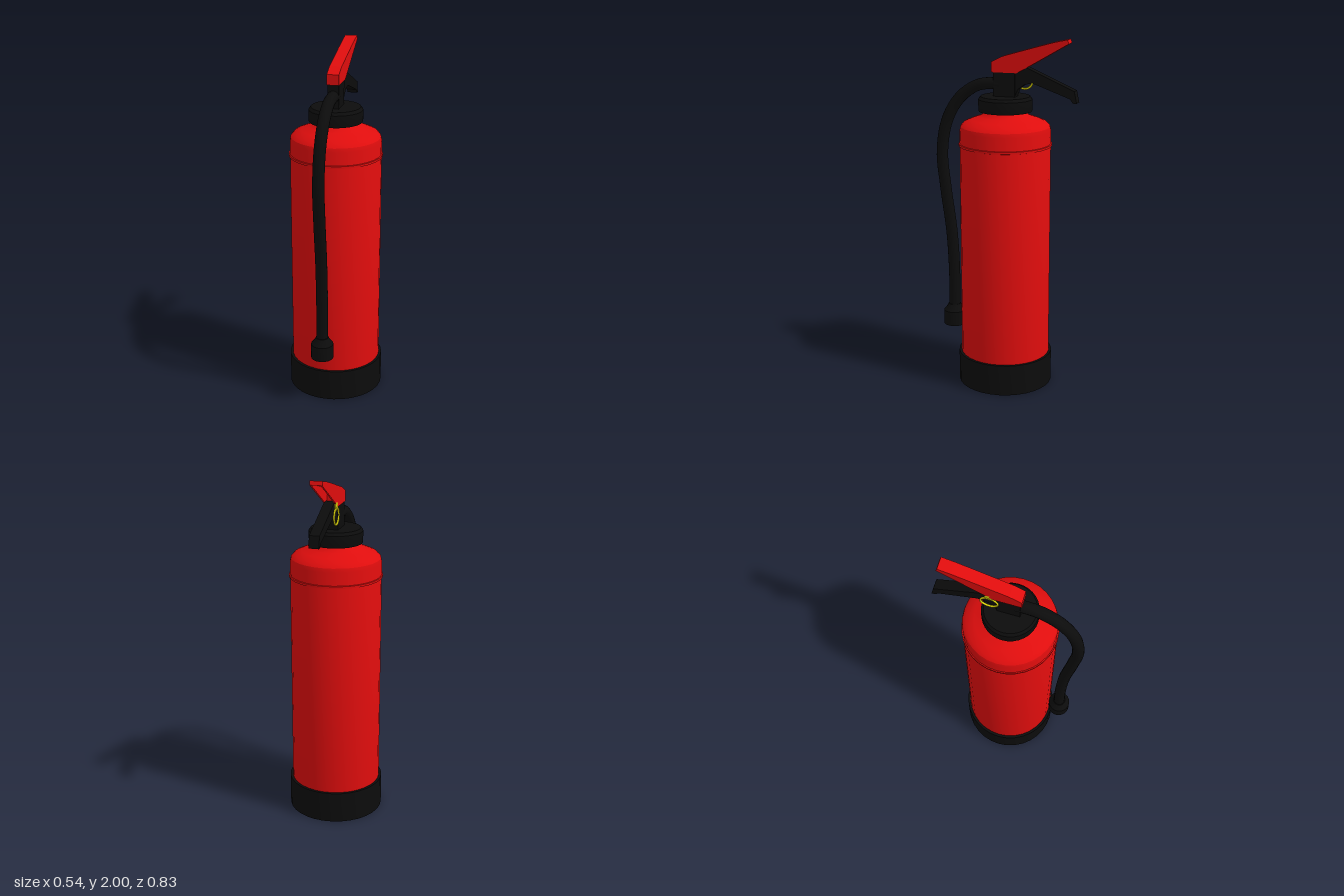
import * as THREE from 'three';
import { toCreasedNormals } from 'three/addons/utils/BufferGeometryUtils.js';

export function createModel() {
  const group = new THREE.Group();
  const material = (name, color) => {
    const m = new THREE.MeshStandardMaterial({ color });
    m.name = name;
    return m;
  };
  const red = material('red paint', 0xdf0d0d);
  const black = material('black rubber', 0x0c0c0c);
  const yellow = material('yellow pin', 0xd8d00a);

  const add = (name, geometry, mat, x = 0, y = 0, z = 0) => {
    const mesh = new THREE.Mesh(geometry, mat);
    mesh.name = name;
    mesh.position.set(x, y, z);
    group.add(mesh);
    return mesh;
  };
  // Turned part from [radius, height] pairs, bottom to top
  const turned = (points, sides = 32) => toCreasedNormals(
    new THREE.LatheGeometry(points.map(([r, y]) => new THREE.Vector2(r, y)), sides), 0.5);
  // Plate from a side profile of [z, y] pairs, spanning x0 to x1
  const plate = (points, x0, x1) => {
    const shape = new THREE.Shape(points.map(([z, y]) => new THREE.Vector2(-z, y)));
    const g = new THREE.ExtrudeGeometry(shape, { depth: x1 - x0, bevelEnabled: false });
    return g.rotateY(Math.PI / 2).translate(x0, 0, 0);
  };

  // Tank, its seam and the foot
  add('tank', turned([[0, 0.1], [0.255, 0.1], [0.255, 1.49], [0.25, 1.512], [0.232, 1.532],
    [0.19, 1.55], [0.145, 1.566], [0.122, 1.578], [0.113, 1.59], [0.113, 1.61], [0, 1.61]]), red);
  add('tankSeam', turned([[0.25, 1.4], [0.261, 1.403], [0.261, 1.415], [0.25, 1.418]]), red);
  add('foot', turned([[0, 0], [0.27, 0], [0.27, 0.18], [0.25, 0.18]]), black);

  // Collar and valve
  add('collar', turned([[0, 1.595], [0.148, 1.595], [0.15, 1.6], [0.15, 1.662],
    [0.138, 1.678], [0, 1.678]]), black);
  add('valve', new THREE.BoxGeometry(0.062, 0.15, 0.125), black, 0, 1.74, -0.002);

  // Carrying grip below the lever
  add('carryGrip', plate([[-0.05, 1.67], [-0.05, 1.82], [-0.1, 1.843], [-0.13, 1.842],
    [-0.4, 1.725], [-0.414, 1.66], [-0.392, 1.66], [-0.378, 1.682], [-0.165, 1.758],
    [-0.12, 1.75], [-0.08, 1.72], [-0.06, 1.67]], -0.028, 0.028), black);

  // Squeeze lever: solid nose, then a channel open below
  add('leverNose', plate([[0.07, 1.81], [0.07, 1.868], [0.005, 1.9], [-0.09, 1.928],
    [-0.09, 1.82], [-0.075, 1.81]], -0.034, 0.034), red);
  add('leverTop', plate([[-0.09, 1.91], [-0.09, 1.928], [-0.2, 1.96], [-0.29, 1.985], [-0.36, 2],
    [-0.367, 1.978], [-0.3, 1.965]], -0.034, 0.034), red);
  for (const s of [-1, 1]) {
    add('leverSide', plate([[-0.088, 1.818], [-0.088, 1.926], [-0.2, 1.959], [-0.29, 1.984],
      [-0.36, 1.999], [-0.367, 1.978], [-0.117, 1.833]],
    s < 0 ? -0.034 : 0.025, s < 0 ? -0.025 : 0.034), red);
  }

  // Safety pin and pull ring on the right
  const pin = add('safetyPin', new THREE.CylinderGeometry(0.024, 0.024, 0.016, 12), yellow,
    -0.026, 1.816, -0.103);
  pin.rotation.z = Math.PI / 2;
  const ring = add('pullRing', new THREE.TorusGeometry(0.045, 0.006, 8, 24), yellow,
    -0.032, 1.762, -0.102);
  ring.rotation.y = Math.PI / 2;

  // Hose and nozzle at the front
  const path = new THREE.CatmullRomCurve3([[0.03, 1.742], [0.09, 1.745], [0.165, 1.73],
    [0.265, 1.66], [0.345, 1.53], [0.38, 1.34], [0.362, 1.13], [0.328, 0.865],
    [0.315, 0.6], [0.317, 0.36]].map(([z, y]) => new THREE.Vector3(0, y, z)));
  add('hose', new THREE.TubeGeometry(path, 48, 0.033, 14), black);
  add('nozzle', turned([[0, 0.3], [0.063, 0.3], [0.063, 0.385], [0.042, 0.41],
    [0.036, 0.425], [0, 0.425]], 24), black, 0, 0, 0.317);

  return group;
}
